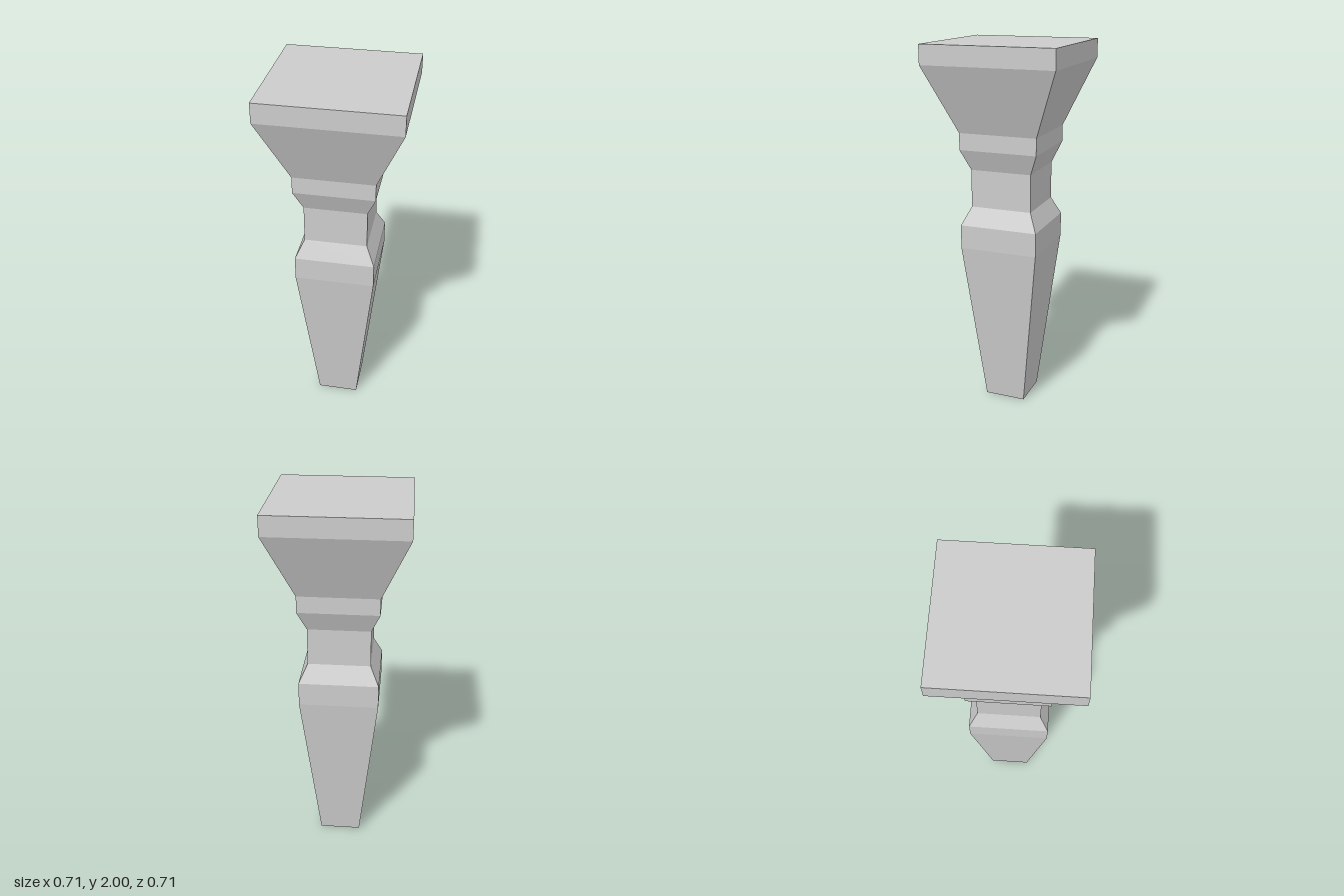
import * as THREE from 'three';

// Half-width and height of each square section, from foot to top plate
const PROFILE = [
  [0, 0], [0.113, 0],             // closed foot
  [0.213, 0.912], [0.213, 1.04],  // long taper and lower collar
  [0.167, 1.138], [0.167, 1.34],  // neck
  [0.213, 1.452], [0.213, 1.542], // upper collar
  [0.357, 1.897], [0.357, 2],     // flare and top plate
  [0, 2],                         // closed top
];

export function createModel() {
  const group = new THREE.Group();
  group.name = 'squareLeg';

  // A four-sided lathe turned by 45 degrees: corner radius = half-width * sqrt(2)
  const points = PROFILE.map(([w, y]) => new THREE.Vector2(w * Math.SQRT2, y));
  const geometry = new THREE.LatheGeometry(points, 4, Math.PI / 4);
  const material = new THREE.MeshStandardMaterial({ color: 0xcccccc, flatShading: true });

  const leg = new THREE.Mesh(geometry, material);
  leg.name = 'taperedLeg';
  group.add(leg);
  return group;
}
